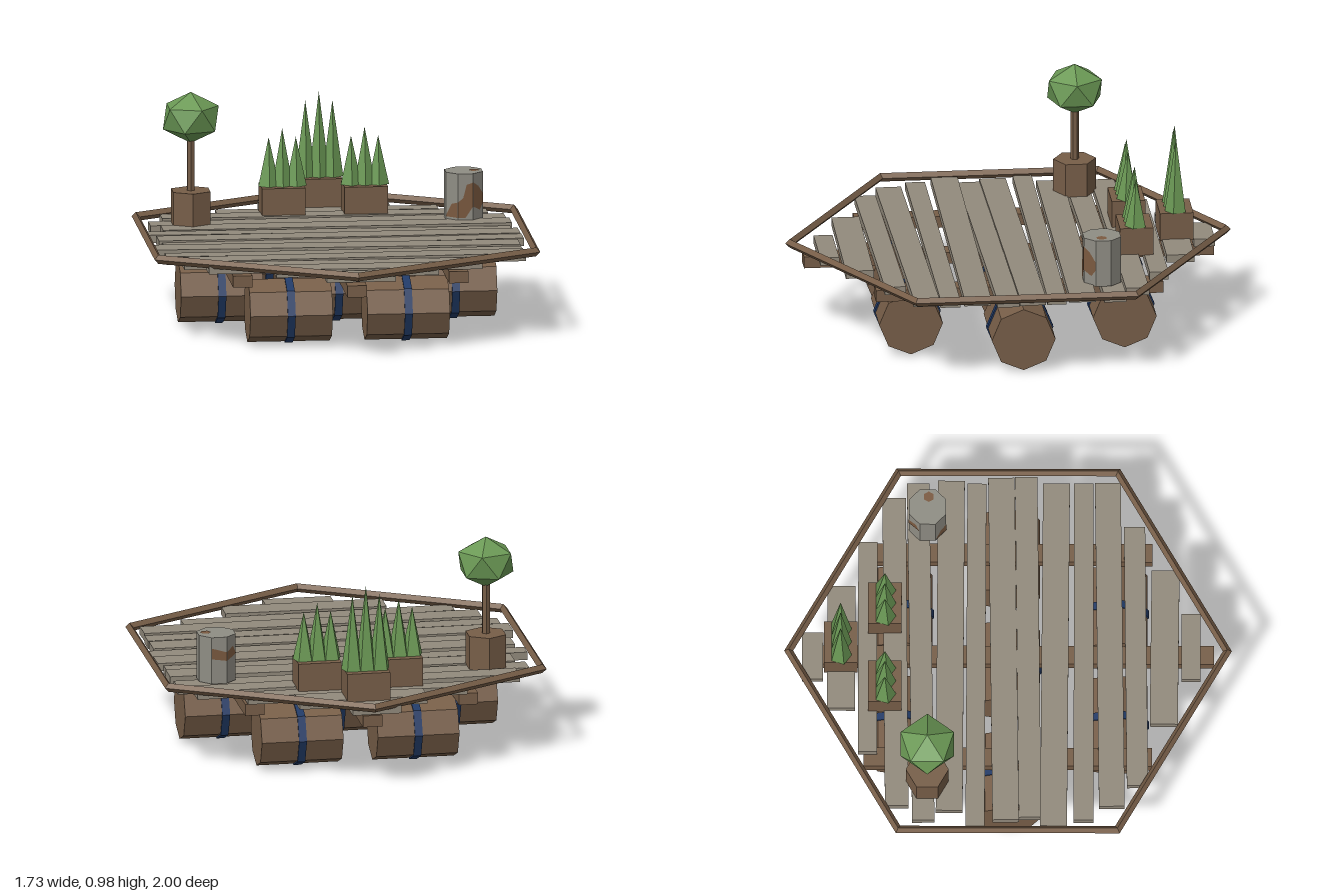
import * as THREE from 'three';

const mat = (name, color) => {
  const m = new THREE.MeshStandardMaterial({ color, flatShading: true });
  m.name = name;
  return m;
};

export function createModel() {
  const wood = mat('brown wood', 0x775e48);
  const grey = mat('weathered plank', 0x928a7c);
  const navy = mat('navy strap', 0x213a66);
  const leaf = mat('leaf green', 0x6b9955);
  const metal = mat('grey drum', 0x8f8d84);
  const rust = mat('rust', 0x7b5a40);

  const root = new THREE.Group();
  root.name = 'floatingRaft';
  const add = (name, geo, material, x, y, z, parent = root) => {
    const m = new THREE.Mesh(geo, material);
    m.name = name;
    m.position.set(x, y, z);
    parent.add(m);
    return m;
  };

  // Float barrels in rows of two, three and two, each with a strap
  const barrelGeo = new THREE.CylinderGeometry(0.143, 0.143, 0.37, 8).rotateZ(Math.PI / 2);
  const strapGeo = new THREE.CylinderGeometry(0.15, 0.15, 0.035, 8).rotateZ(Math.PI / 2);
  const rows = [[-0.48, [-0.263, 0.263]], [0, [-0.525, 0, 0.525]], [0.48, [-0.263, 0.263]]];
  for (const [z, xs] of rows) {
    for (const x of xs) {
      add('floatBarrel', barrelGeo, wood, x, 0.15, z);
      add('barrelStrap', strapGeo, navy, x, 0.15, z);
    }
  }

  // Support beams
  for (const [x, len] of [[-0.485, 1.29], [0, 1.84], [0.485, 1.29]]) {
    add('supportBeam', new THREE.BoxGeometry(0.087, 0.053, len), wood, x, 0.315, 0);
  }

  // Deck planks: left end, right end, centre z, depth, yaw
  const planks = [
    [-0.13, 0.09, -0.873, 0.095, 0], [-0.27, 0.31, -0.745, 0.125, -0.005],
    [-0.475, 0.52, -0.627, 0.085, 0], [-0.735, 0.73, -0.503, 0.105, 0.009],
    [-0.8, 0.8, -0.39, 0.1, 0.016], [-0.755, 0.81, -0.258, 0.12, -0.005],
    [-0.835, 0.8, -0.143, 0.085, -0.004], [-0.8, 0.825, -0.02, 0.118, 0.013],
    [-0.785, 0.83, 0.09, 0.1, 0.012], [-0.83, 0.8, 0.21, 0.12, -0.007],
    [-0.8, 0.8, 0.338, 0.088, 0], [-0.735, 0.8, 0.455, 0.115, 0.013],
    [-0.635, 0.595, 0.572, 0.095, 0.012], [-0.345, 0.385, 0.7, 0.125, -0.01],
    [-0.13, 0.18, 0.818, 0.085, 0],
  ];
  planks.forEach(([x0, x1, z, d, yaw], i) => {
    const p = add('deckPlank', new THREE.BoxGeometry(x1 - x0, 0.036, d), grey,
      (x0 + x1) / 2, 0.364 + 0.006 * (i % 2), z);
    p.rotation.set(0, yaw, 0.003 * ((i % 3) - 1));
  });

  // Six-sided rim with a diamond section
  add('deckRim', new THREE.TorusGeometry(0.98, 0.02, 4, 6).rotateZ(Math.PI / 6).rotateX(Math.PI / 2),
    wood, 0, 0.393, 0);

  // Round tree in a six-sided pot
  const tree = new THREE.Group();
  tree.name = 'pottedTree';
  tree.position.set(-0.615, 0, -0.36);
  root.add(tree);
  add('treePot', new THREE.CylinderGeometry(0.096, 0.096, 0.155, 6), wood, 0, 0.4575, 0, tree);
  add('treeTrunk', new THREE.CylinderGeometry(0.019, 0.019, 0.27, 6), wood, 0, 0.66, 0, tree);
  const crown = new THREE.IcosahedronGeometry(1, 0)
    .rotateX(-Math.atan((1 + Math.sqrt(5)) / 2)).rotateY(Math.PI / 2).scale(0.14, 0.116, 0.14);
  add('treeCrown', crown, leaf, 0, 0.866, 0, tree);

  // Planter boxes, each with three pointed shrubs
  for (const [x, z, h] of [[-0.185, -0.55, 0.26], [0, -0.748, 0.385], [0.185, -0.55, 0.26]]) {
    const planter = new THREE.Group();
    planter.name = 'shrubPlanter';
    planter.position.set(x, 0, z);
    root.add(planter);
    add('planterBox', new THREE.BoxGeometry(0.195, 0.13, 0.15), wood, 0, 0.445, 0, planter);
    for (const i of [-1, 0, 1]) {
      const tall = h - Math.abs(i) * 0.04;
      add('shrub', new THREE.ConeGeometry(0.05, tall, 5), leaf, i * 0.061, 0.51 + tall / 2, 0, planter);
    }
  }

  // Rusty drum
  const drum = new THREE.Group();
  drum.name = 'drum';
  drum.position.set(0.61, 0, -0.36);
  root.add(drum);
  add('drumBody', new THREE.CylinderGeometry(0.09, 0.09, 0.215, 8).rotateY(Math.PI / 8),
    metal, 0, 0.4925, 0, drum);

  // Rust patches lying on the drum's facets: facet number, then outline
  const patches = [
    [0, [[-0.034, 0.4], [0, 0.4], [0.034, 0.45], [0.034, 0.56], [0.005, 0.55], [-0.01, 0.49], [-0.034, 0.47]]],
    [-1, [[-0.034, 0.4], [0.034, 0.4], [0.034, 0.47], [0, 0.46]]],
    [1, [[-0.034, 0.45], [0.01, 0.43], [0.034, 0.46], [0.034, 0.5], [0, 0.54], [-0.034, 0.56]]],
    [4, [[-0.034, 0.5], [0.034, 0.49], [0.034, 0.53], [-0.034, 0.55]]],
    [5, [[-0.034, 0.49], [0.034, 0.51], [0.01, 0.55], [-0.034, 0.53]]],
  ];
  for (const [facet, pts] of patches) {
    const shape = new THREE.Shape(pts.map(([u, y]) => new THREE.Vector2(u, y)));
    const geo = new THREE.ShapeGeometry(shape).translate(0, 0, 0.0852).rotateY(facet * Math.PI / 4);
    add('rustPatch', geo, rust, 0, 0, 0, drum);
  }
  add('lidRust', new THREE.CircleGeometry(0.025, 6).rotateX(-Math.PI / 2), rust, 0.047, 0.602, 0.005, drum);

  return root;
}
